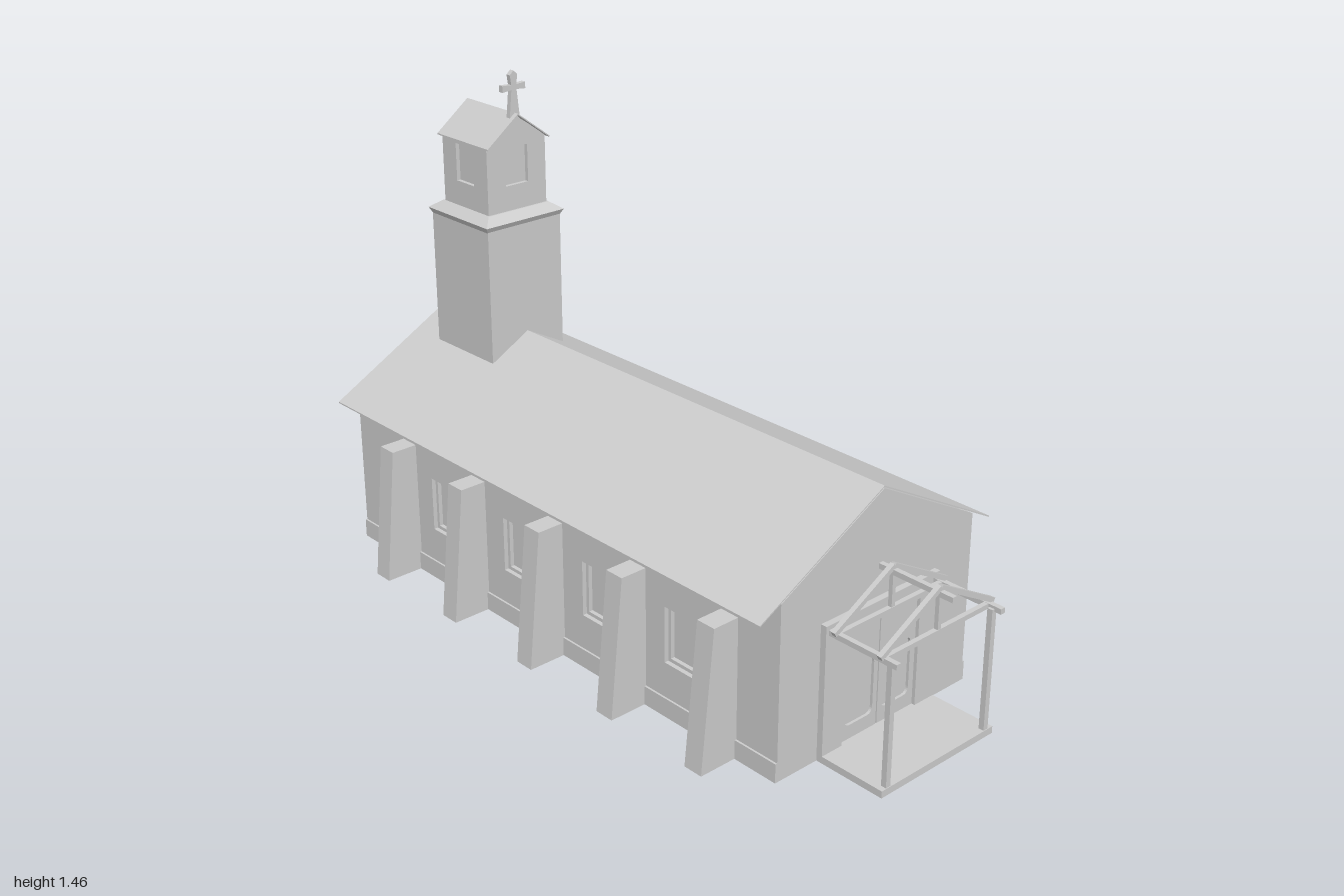
import * as THREE from 'three';

const stone = new THREE.MeshStandardMaterial({ color: 0xcccccc, side: THREE.DoubleSide });
stone.name = 'light grey';

function add(parent, name, geometry) {
  const mesh = new THREE.Mesh(geometry, stone);
  mesh.name = name;
  parent.add(mesh);
  return mesh;
}

// Box given by its minimum and maximum on each axis
function box(parent, name, x0, x1, y0, y1, z0, z1) {
  const g = new THREE.BoxGeometry(x1 - x0, y1 - y0, z1 - z0);
  g.translate((x0 + x1) / 2, (y0 + y1) / 2, (z0 + z1) / 2);
  return add(parent, name, g);
}

function polygon(points) {
  return new THREE.Shape(points.map(([x, y]) => new THREE.Vector2(x, y)));
}

function rect(u0, u1, y0, y1) {
  return polygon([[u0, y0], [u1, y0], [u1, y1], [u0, y1]]);
}

// Extrude a (z, y) outline from x0 to x1
function extrudeX(parent, name, shape, x0, x1) {
  const g = new THREE.ExtrudeGeometry(shape, { depth: x1 - x0, bevelEnabled: false, curveSegments: 6 });
  g.rotateY(Math.PI / 2).translate(x0, 0, 0);
  return add(parent, name, g);
}

// Extrude an (x, y) outline from z0 to z1
function extrudeZ(parent, name, shape, z0, z1) {
  const g = new THREE.ExtrudeGeometry(shape, { depth: z1 - z0, bevelEnabled: false });
  g.translate(0, 0, z0);
  return add(parent, name, g);
}

function gable(half, base, eave, apex) {
  return polygon([[-half, base], [half, base], [half, eave], [0, apex], [-half, eave]]);
}

// Square bar between two points
function beam(parent, name, a, b, size = 0.015) {
  const from = new THREE.Vector3(...a), to = new THREE.Vector3(...b);
  const mesh = add(parent, name, new THREE.BoxGeometry(size, size, from.distanceTo(to)));
  mesh.position.copy(from).lerp(to, 0.5);
  mesh.lookAt(to);
  return mesh;
}

// Two thin sloping sheets meeting at a ridge along x
function roof(parent, name, x0, x1, half, eave, apex) {
  const t = 0.004;
  extrudeX(parent, name, polygon([
    [-half, eave], [0, apex], [half, eave], [half, eave - t], [0, apex - t], [-half, eave - t],
  ]), x0, x1);
}

// Square frustum for the tower cornice
function frustum(parent, name, y0, y1, r0, r1, cx) {
  const g = new THREE.CylinderGeometry(r1 * Math.SQRT2, r0 * Math.SQRT2, y1 - y0, 4, 1).toNonIndexed();
  g.rotateY(Math.PI / 4).translate(cx, (y0 + y1) / 2, 0);
  g.computeVertexNormals();
  add(parent, name, g);
}

function buildNave(root) {
  const nave = new THREE.Group();
  nave.name = 'nave';
  root.add(nave);
  const x0 = -1, x1 = 0.765, windows = [-0.58, -0.245, 0.095, 0.42];

  extrudeX(nave, 'naveCore', gable(0.325, 0, 0.51, 0.685), x0 + 0.01, x1 - 0.01);
  extrudeX(nave, 'backGable', gable(0.35, 0, 0.498, 0.686), x0, x0 + 0.01);
  extrudeX(nave, 'entranceGable', gable(0.35, 0, 0.498, 0.686), x1 - 0.01, x1);
  roof(nave, 'naveRoof', x0, x1, 0.42, 0.467, 0.693);

  for (const s of [-1, 1]) {
    // Side wall with recessed windows
    const wall = rect(x0 + 0.01, x1 - 0.01, 0, 0.498);
    for (const c of windows) wall.holes.push(rect(c - 0.063, c + 0.063, 0.157, 0.32));
    extrudeZ(nave, 'sideWall', wall, s > 0 ? 0.325 : -0.35, s > 0 ? 0.35 : -0.325);
    for (const c of windows) {
      const frame = rect(c - 0.063, c + 0.063, 0.157, 0.32);
      frame.holes.push(rect(c - 0.053, c + 0.053, 0.167, 0.31));
      extrudeZ(nave, 'windowFrame', frame, s * 0.331 - 0.006, s * 0.331 + 0.006);
    }
    // Plinth along the foot of the wall
    box(nave, 'plinth', x0, x1, 0, 0.055, s * 0.3525 - 0.0035, s * 0.3525 + 0.0035);
    // Battered buttresses
    for (const c of [-0.745, -0.417, -0.078, 0.255, 0.592]) {
      const profile = polygon([[-s * 0.34, 0], [-s * 0.47, 0], [-s * 0.43, 0.402], [-s * 0.34, 0.402]]);
      extrudeX(nave, 'buttress', profile, c - 0.03, c + 0.03);
    }
  }
}

function buildTower(root) {
  const tower = new THREE.Group();
  tower.name = 'tower';
  root.add(tower);
  const cx = -0.753;

  box(tower, 'towerShaft', -0.884, -0.622, 0.5, 1.025, -0.13, 0.13);
  frustum(tower, 'corniceUnderside', 1.018, 1.035, 0.13, 0.139, cx);
  frustum(tower, 'corniceTop', 1.035, 1.057, 0.139, 0.108, cx);

  // Belfry with a window recess on three sides
  const x0 = -0.855, x1 = -0.65, half = 0.104, d = 0.012;
  extrudeX(tower, 'belfryCore', gable(half - d, 1.05, 1.265, 1.33), x0, x1 - d);
  const front = gable(half, 1.05, 1.258, 1.33);
  front.holes.push(rect(-0.04, 0.04, 1.13, 1.24));
  extrudeX(tower, 'belfryGableWall', front, x1 - d, x1);
  for (const s of [-1, 1]) {
    const wall = rect(x0, x1 - d, 1.05, 1.258);
    wall.holes.push(rect(cx - 0.04, cx + 0.04, 1.13, 1.24));
    extrudeZ(tower, 'belfrySideWall', wall, s > 0 ? half - d : -half, s > 0 ? half : -half + d);
  }
  roof(tower, 'belfryRoof', -0.87, -0.635, 0.11, 1.254, 1.337);

  // Cross with slightly widened ends
  const cross = polygon([
    [-0.018, 1.32], [0.018, 1.32], [0.009, 1.403], [0.04, 1.4], [0.04, 1.419], [0.009, 1.417],
    [0.013, 1.445], [0, 1.457], [-0.013, 1.445], [-0.009, 1.417], [-0.04, 1.419], [-0.04, 1.4], [-0.009, 1.403],
  ]);
  extrudeX(tower, 'cross', cross, -0.665, -0.65);
}

function roundedRect(u0, u1, y0, y1, r) {
  const s = new THREE.Shape();
  s.moveTo(u0 + r, y0).lineTo(u1 - r, y0).quadraticCurveTo(u1, y0, u1, y0 + r);
  s.lineTo(u1, y1 - r).quadraticCurveTo(u1, y1, u1 - r, y1);
  s.lineTo(u0 + r, y1).quadraticCurveTo(u0, y1, u0, y1 - r);
  s.lineTo(u0, y0 + r).quadraticCurveTo(u0, y0, u0 + r, y0);
  return s;
}

function buildPorch(root) {
  const porch = new THREE.Group();
  porch.name = 'porch';
  root.add(porch);

  // Door surround, double doors and floor
  const surround = rect(-0.21, 0.21, 0, 0.39);
  surround.holes.push(rect(-0.138, 0.138, 0.02, 0.34));
  extrudeX(porch, 'doorSurround', surround, 0.76, 0.783);
  for (const s of [-1, 1]) {
    const door = rect(s > 0 ? 0.002 : -0.138, s > 0 ? 0.138 : -0.002, 0.02, 0.34);
    door.holes.push(roundedRect(s > 0 ? 0.017 : -0.12, s > 0 ? 0.12 : -0.017, 0.06, 0.23, 0.02));
    extrudeX(porch, 'door', door, 0.76, 0.773);
  }
  box(porch, 'porchFloor', 0.765, 0.982, 0, 0.02, -0.21, 0.21);

  // Posts and long beams
  for (const s of [-1, 1]) {
    box(porch, 'porchPost', 0.964, 0.98, 0.02, 0.37, s * 0.185 - 0.008, s * 0.185 + 0.008);
    beam(porch, 'eaveBeam', [0.765, 0.37, s * 0.193], [1, 0.37, s * 0.193]);
  }
  beam(porch, 'ridgeBeam', [0.765, 0.476, 0], [1, 0.476, 0]);

  // Open trusses
  for (const x of [0.805, 0.953]) {
    beam(porch, 'tieBeam', [x, 0.37, -0.2], [x, 0.37, 0.2], 0.014);
    beam(porch, 'kingPost', [x, 0.37, 0], [x, 0.49, 0], 0.012);
    for (const s of [-1, 1]) beam(porch, 'rafter', [x, 0.378, s * 0.208], [x, 0.492, 0], 0.014);
  }
}

export function createModel() {
  const church = new THREE.Group();
  church.name = 'church';
  buildNave(church);
  buildTower(church);
  buildPorch(church);
  return church;
}
